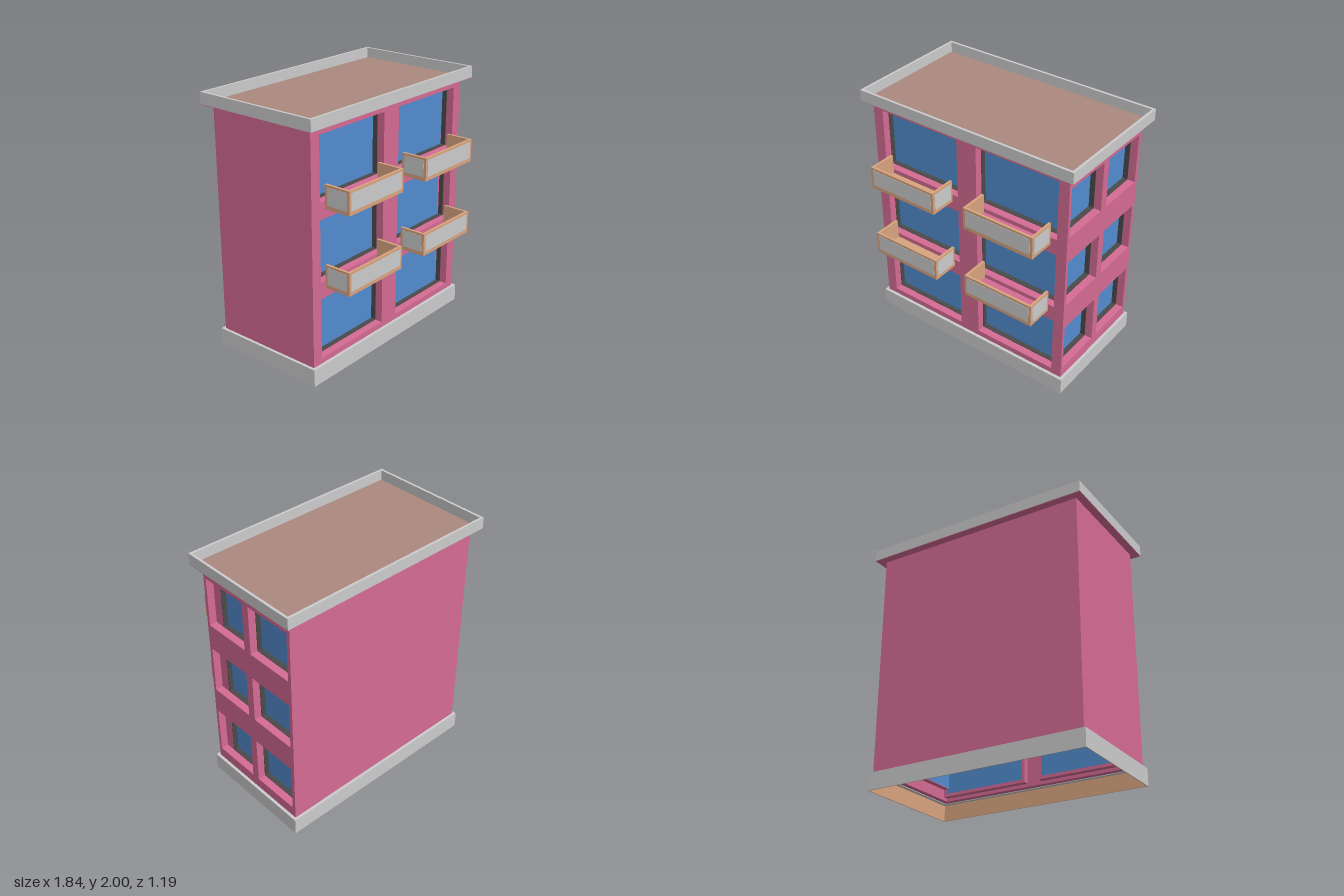
import * as THREE from 'three';

const paint = (color) => new THREE.MeshStandardMaterial({ color, side: THREE.DoubleSide });

export function createModel() {
  const pink = paint(0xd56b94), blue = paint(0x528ccf), tan = paint(0xd8a47f);
  const brown = paint(0xaa887f), grey = paint(0xcccccc), dark = paint(0x4a4a4a);
  const model = new THREE.Group();
  model.name = 'apartmentBuilding';

  const add = (parent, name, geometry, material) => {
    const mesh = new THREE.Mesh(geometry, material);
    mesh.name = name;
    parent.add(mesh);
    return mesh;
  };
  // Box given by its minimum and maximum corners
  const box = (parent, name, material, [x0, y0, z0], [x1, y1, z1]) => {
    const mesh = add(parent, name, new THREE.BoxGeometry(x1 - x0, y1 - y0, z1 - z0), material);
    mesh.position.set((x0 + x1) / 2, (y0 + y1) / 2, (z0 + z1) / 2);
    return mesh;
  };
  // Rectangle [u0, v0, u1, v1] with rectangular holes, extruded from z0 to z1
  const trace = (path, [u0, v0, u1, v1]) => {
    path.moveTo(u0, v0).lineTo(u1, v0).lineTo(u1, v1).lineTo(u0, v1).closePath();
    return path;
  };
  const plate = (parent, name, material, rect, holes, z0, z1) => {
    const shape = trace(new THREE.Shape(), rect);
    shape.holes = holes.map((hole) => trace(new THREE.Path(), hole));
    const geometry = new THREE.ExtrudeGeometry(shape, { depth: z1 - z0, bevelEnabled: false });
    return add(parent, name, geometry.translate(0, 0, z0), material);
  };
  const grow = ([u0, v0, u1, v1], t) => [u0 - t, v0 - t, u1 + t, v1 + t];
  // Horizontal ring around the building; rect is [x0, -z0, x1, -z1]
  const ring = (name, material, rect, t, y0, y1) => {
    plate(model, name, material, rect, [grow(rect, -t)], y0, y1).rotation.x = -Math.PI / 2;
  };

  // Recessed window: casing behind the wall, dark frame lining and glass
  const addWindow = (wall, rect, casing) => {
    plate(wall, 'windowCasing', pink, grow(rect, casing), [rect], -0.105, -0.06);
    plate(wall, 'windowFrame', dark, rect, [grow(rect, -0.004)], -0.1, -0.06);
    box(wall, 'windowGlass', blue, [rect[0], rect[1], -0.105], [rect[2], rect[3], -0.1]);
  };

  // Front wall with two windows on each floor
  const front = new THREE.Group();
  front.name = 'frontWall';
  front.position.z = 0.38;
  model.add(front);
  const frontHoles = [];
  for (const [v0, v1] of [[0.18, 0.65], [0.78, 1.245], [1.375, 1.85]]) {
    frontHoles.push([-0.775, v0, -0.085, v1], [0.085, v0, 0.775, v1]);
  }
  plate(front, 'frontWallPanel', pink, [-0.86, 0.13, 0.8, 1.915], frontHoles, -0.06, 0);
  frontHoles.forEach((rect) => addWindow(front, rect, 0.025));

  // Left wall with two windows on each floor; the front one meets the corner casing
  const side = new THREE.Group();
  side.name = 'leftWall';
  side.position.x = 0.86;
  side.rotation.y = Math.PI / 2;
  model.add(side);
  const sideHoles = [];
  for (const [v0, v1] of [[0.22, 0.61], [0.82, 1.205], [1.415, 1.81]]) {
    sideHoles.push([-0.355, v0, 0.04, v1], [0.105, v0, 0.5, v1]);
    addWindow(side, [-0.275, v0, 0.04, v1], 0.005);
    addWindow(side, [0.105, v0, 0.5, v1], 0.005);
  }
  plate(side, 'leftWallPanel', pink, [-0.38, 0.13, 0.53, 1.915], sideHoles, -0.06, 0);

  // Plain walls
  box(model, 'backWall', pink, [-0.86, 0.13, -0.53], [0.8, 1.915, -0.51]);
  box(model, 'rightWall', pink, [-0.86, 0.13, -0.51], [-0.84, 1.915, 0.32]);

  // Base: hollow skirt with a ledge on top, open below
  const baseRect = [-0.883, -0.405, 0.883, 0.553];
  ring('baseSkirt', grey, baseRect, 0.005, 0, 0.135);
  ring('baseLining', tan, grow(baseRect, -0.005), 0.003, 0, 0.125);
  ring('baseLedge', grey, grow(baseRect, -0.005), 0.035, 0.125, 0.135);

  // Flat roof with parapet
  ring('parapet', grey, [-0.922, -0.443, 0.922, 0.593], 0.02, 1.912, 2);
  box(model, 'roofSoffit', pink, [-0.92, 1.908, -0.591], [0.92, 1.914, 0.441]);
  box(model, 'roofDeck', brown, [-0.902, 1.914, -0.573], [0.902, 1.92, 0.423]);

  // Balconies: tan tray with grey panels set into three sides
  for (const y of [0.72, 1.315]) {
    for (const s of [-1, 1]) {
      const balcony = new THREE.Group();
      balcony.name = 'balcony';
      balcony.position.set(s * 0.43, y, 0.38);
      model.add(balcony);
      box(balcony, 'balconyFloor', tan, [-0.295, 0, 0], [0.295, 0.025, 0.215]);
      box(balcony, 'balconyFront', tan, [-0.295, 0.025, 0.195], [0.295, 0.178, 0.215]);
      box(balcony, 'frontPanel', grey, [-0.275, 0.03, 0.21], [0.275, 0.16, 0.217]);
      if (s > 0) box(balcony, 'floorCovering', pink, [-0.275, 0.025, 0], [0.275, 0.028, 0.195]);
      for (const m of [-1, 1]) {
        const wall = box(balcony, 'balconySide', tan, [-0.01, 0.025, 0], [0.01, 0.178, 0.195]);
        wall.position.x = m * 0.285;
        const panel = box(balcony, 'sidePanel', grey, [-0.003, 0.03, 0.02], [0.003, 0.16, 0.195]);
        panel.position.x = m * 0.294;
      }
    }
  }
  return model;
}
